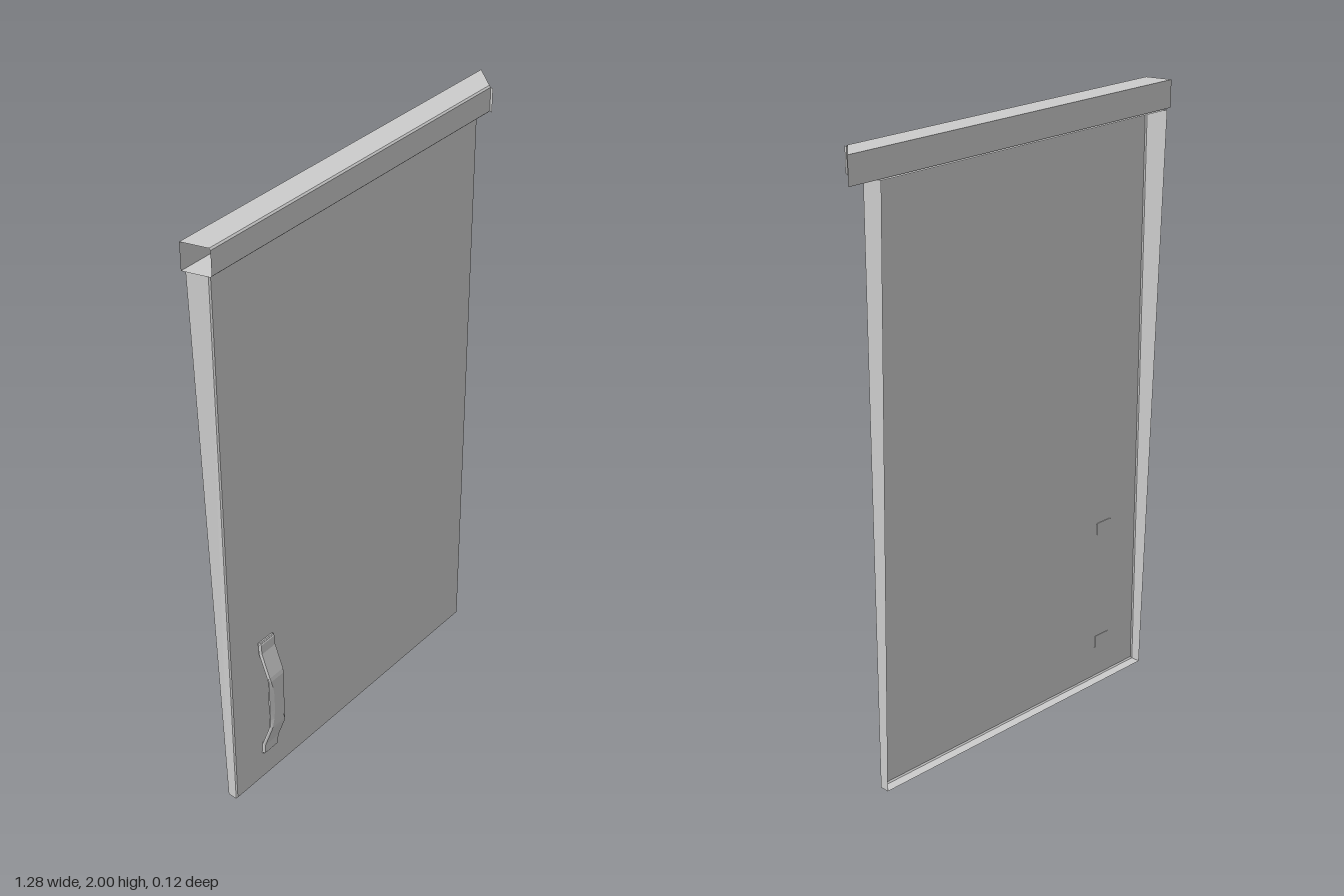
import * as THREE from 'three';

const sheet = new THREE.MeshStandardMaterial({ color: 0xcccccc, side: THREE.DoubleSide, flatShading: true });

// Skin a list of equal-sized rings of [x, y, z] corners; optionally cap the first and last ring.
function loft(name, rings, capFirst = false, capLast = false) {
  const pos = [];
  const tri = (a, b, c) => pos.push(...a, ...b, ...c);
  const n = rings[0].length;
  for (let r = 0; r < rings.length - 1; r++) {
    for (let i = 0; i < n; i++) {
      const j = (i + 1) % n;
      const a = rings[r][i], b = rings[r][j], c = rings[r + 1][j], d = rings[r + 1][i];
      tri(a, d, c);
      tri(a, c, b);
    }
  }
  const first = rings[0], last = rings[rings.length - 1];
  for (let i = 1; i < n - 1; i++) {
    if (capFirst) tri(first[0], first[i], first[i + 1]);
    if (capLast) tri(last[0], last[i + 1], last[i]);
  }
  const g = new THREE.BufferGeometry();
  g.setAttribute('position', new THREE.Float32BufferAttribute(pos, 3));
  g.computeVertexNormals();
  const mesh = new THREE.Mesh(g, sheet);
  mesh.name = name;
  return mesh;
}

// Folded sheet door: front face, small bend, and flanges that deepen towards the top.
function doorPanel() {
  const ring = (x0, x1, y0, y1, zBottom, zTop, topFlare = 0) => [
    [x0, y0, zBottom], [x1, y0, zBottom], [x1, y1, zTop], [x0 - topFlare, y1, zTop],
  ];
  return loft('doorPanel', [
    ring(-0.608, 0.525, 0.005, 1.907, 0.015, 0.015),
    ring(-0.612, 0.53, 0, 1.912, 0.011, 0.011),
    ring(-0.612, 0.53, 0, 1.912, -0.02, -0.062, 0.008),
  ], true);
}

// Hollow top rail with mitred open ends and a small lip at its left end.
function topRail() {
  const group = new THREE.Group();
  group.name = 'topRail';
  const y0 = 1.914, y1 = 2, b = 0.005, zf = 0.029, zb = -0.056;
  const end = (xFront, xBack) => [
    [xFront, y0 + b, zf], [xFront, y1 - b, zf], [xFront, y1, zf - b],
    [xBack, y1, zb], [xBack, y0, zb], [xFront, y0, zf - b],
  ];
  group.add(loft('railTube', [end(-0.618, -0.642), end(0.57, 0.638)]));

  const lip = new THREE.Mesh(new THREE.PlaneGeometry(0.012, y1 - y0 - 2 * b), sheet);
  lip.name = 'railLip';
  lip.rotation.y = Math.PI / 2 - 0.3;
  lip.position.set(0.569, (y0 + y1) / 2, zf + 0.004);
  group.add(lip);
  return group;
}

// Bent strap handle whose raised front face narrows along the grip.
function handle() {
  const group = new THREE.Group();
  group.name = 'handle';
  const cx = -0.457, half = 0.033, thick = 0.006;

  // Centre line [y, z, half-width of the front face], lower half, then mirrored about the middle.
  const mid = 0.34;
  const lower = [
    [0.11, 0.018, 0.028], [0.116, 0.022, 0.03], [0.15, 0.024, 0.03],
    [0.232, 0.053, 0.03], [0.245, 0.056, 0.028], [0.275, 0.056, 0.02], [0.31, 0.056, 0.016],
  ];
  const path = [...lower, ...lower.slice().reverse().map(([y, z, w]) => [2 * mid - y, z, w])];
  const rings = path.map(([y, z, w], i) => {
    const p = path[Math.max(i - 1, 0)], q = path[Math.min(i + 1, path.length - 1)];
    const len = Math.hypot(q[0] - p[0], q[1] - p[1]);
    const ny = -(q[1] - p[1]) / len, nz = (q[0] - p[0]) / len;
    const at = (x, t) => [cx + x, y + ny * t, z + nz * t];
    const t = thick * 0.8;
    return [at(-half, -t), at(half, -t), at(half, 0), at(w, t), at(-w, t), at(-half, 0)];
  });
  group.add(loft('grip', rings, true, true));

  // Mounting feet, set through the door sheet.
  for (const y of [0.132, 0.548]) {
    const foot = new THREE.Mesh(new THREE.BoxGeometry(0.06, 0.042, 0.012), sheet);
    foot.name = 'handleFoot';
    foot.position.set(cx, y, 0.019);
    group.add(foot);
  }
  return group;
}

export function createModel() {
  const model = new THREE.Group();
  model.name = 'door';
  model.add(doorPanel(), topRail(), handle());
  return model;
}
